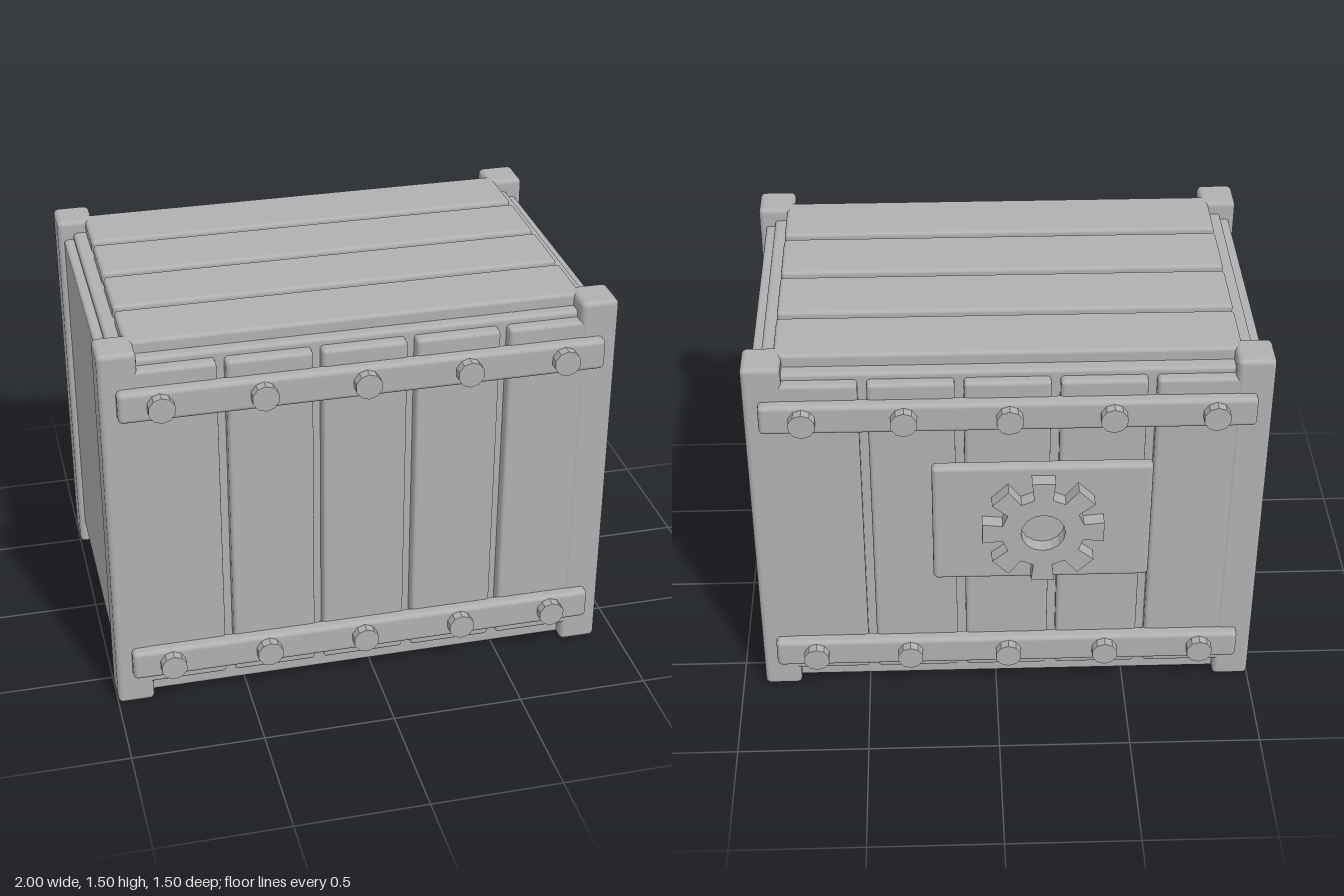
import * as THREE from 'three';
import { RoundedBoxGeometry } from 'three/addons/geometries/RoundedBoxGeometry.js';

export function createModel() {
  const crate = new THREE.Group();
  crate.name = 'crate';
  const grey = new THREE.MeshStandardMaterial({ color: 0xb0b0b0 });
  grey.name = 'grey';

  const add = (name, geometry) => {
    const mesh = new THREE.Mesh(geometry, grey);
    mesh.name = name;
    crate.add(mesh);
    return mesh;
  };
  // Soft-edged box given by its limits on each axis
  const block = (name, [x0, x1], [y0, y1], [z0, z1], r = 0.015) =>
    add(name, new RoundedBoxGeometry(x1 - x0, y1 - y0, z1 - z0, 2, r))
      .position.set((x0 + x1) / 2, (y0 + y1) / 2, (z0 + z1) / 2);

  // Inner body
  block('core', [-0.94, 0.85], [0.008, 1.45], [-0.585, 0.625]);

  // Corner posts
  for (const x of [[-1, -0.86], [0.77, 0.913]])
    for (const z of [[-0.627, -0.475], [0.52, 0.673]])
      block('cornerPost', x, [0, 1.5], z, 0.02);

  // Side panels
  block('leftPanel', [0.80, 0.887], [0.09, 1.425], [-0.55, 0.59], 0.012);
  block('rightPanel', [-0.977, -0.89], [0.09, 1.425], [-0.55, 0.59], 0.012);

  // Lid planks
  for (let i = 0; i < 4; i++) {
    const z = -0.535 + i * 0.286;
    block('lidPlank', [-0.89, 0.80], [1.435, 1.498], [z, z + 0.257]);
  }

  // Front and back: planks, beams and bolts
  for (const side of [1, -1]) {
    const depth = (a, b) => {
      const p = 0.023 + side * a, q = 0.023 + side * b;
      return [Math.min(p, q), Math.max(p, q)];
    };
    for (let i = 0; i < 5; i++) {
      const x = -0.893 + i * 0.348;
      block('wallPlank', [x, x + 0.315], [0.08, 1.425], depth(0.585, 0.648));
    }
    for (const y of [0.19, 1.302]) {
      block('beam', [-0.94, 0.857], [y - 0.06, y + 0.06], depth(0.63, 0.69), 0.018);
      for (const x of [-0.79, -0.42, -0.045, 0.335, 0.70]) {
        const geo = new THREE.CylinderGeometry(0.05, 0.05, 0.06, 10).toNonIndexed();
        geo.computeVertexNormals();
        geo.rotateX(Math.PI / 2);
        add('bolt', geo).position.set(x, y, 0.023 + side * 0.696);
      }
    }
  }

  // Back plate with raised cog
  block('backPlate', [-0.572, 0.24], [0.58, 1.10], [-0.695, -0.645], 0.018);
  const cog = new THREE.Shape();
  for (let i = 0; i < 8; i++) {
    const a = i * Math.PI / 4, c = Math.cos(a), s = Math.sin(a);
    for (const [r, w] of [[0.15, -0.035], [0.225, -0.043], [0.225, 0.043], [0.15, 0.035]]) {
      const x = r * c - w * s, y = r * s + w * c;
      if (i === 0 && w === -0.035) cog.moveTo(x, y); else cog.lineTo(x, y);
    }
  }
  cog.closePath();
  cog.holes.push(new THREE.Path().absarc(0, 0, 0.082, 0, Math.PI * 2, true));
  add('backCog', new THREE.ExtrudeGeometry(cog, { depth: 0.06, bevelEnabled: false, curveSegments: 8 }))
    .position.set(-0.168, 0.837, -0.75);

  // Round hub on the left panel
  const hub = new THREE.CylinderGeometry(0.102, 0.102, 0.04, 16);
  hub.rotateZ(Math.PI / 2);
  add('sideHub', hub).position.set(0.872, 0.34, 0.057);

  // Tilted cog half sunk into the left panel, outlined as [z, y]
  const rim = [
    [0.46, 0.356], [0.46, 0.308], [0.38, 0.312], [0.348, 0.244], [0.428, 0.172], [0.38, 0.068],
    [0.292, 0.156], [0.24, 0.10], [0.28, 0.02], [0.268, 0], [0.176, 0], [0.156, 0.05],
    [0.084, 0.036], [0.08, 0], [-0.012, 0], [-0.03, 0.028], [-0.084, 0.048], [-0.108, 0],
    [-0.184, 0], [-0.212, 0.036], [-0.164, 0.096], [0.148, 0.228],
  ];
  const sunk = new THREE.Shape(rim.map(([z, y]) => new THREE.Vector2(-z, y)));
  const sunkGeo = new THREE.ExtrudeGeometry(sunk, { depth: 1, bevelEnabled: false });
  sunkGeo.rotateY(Math.PI / 2);
  const p = sunkGeo.attributes.position;
  for (let i = 0; i < p.count; i++) {
    // Outer face slopes away from the panel towards the ground
    const lean = 0.375 * (p.getZ(i) + 0.17) - 0.927 * (p.getY(i) - 0.10);
    p.setX(i, p.getX(i) > 0.5 ? 0.889 + 0.45 * Math.max(lean, 0) : 0.85);
  }
  sunkGeo.computeVertexNormals();
  add('sunkenCog', sunkGeo);

  return crate;
}
